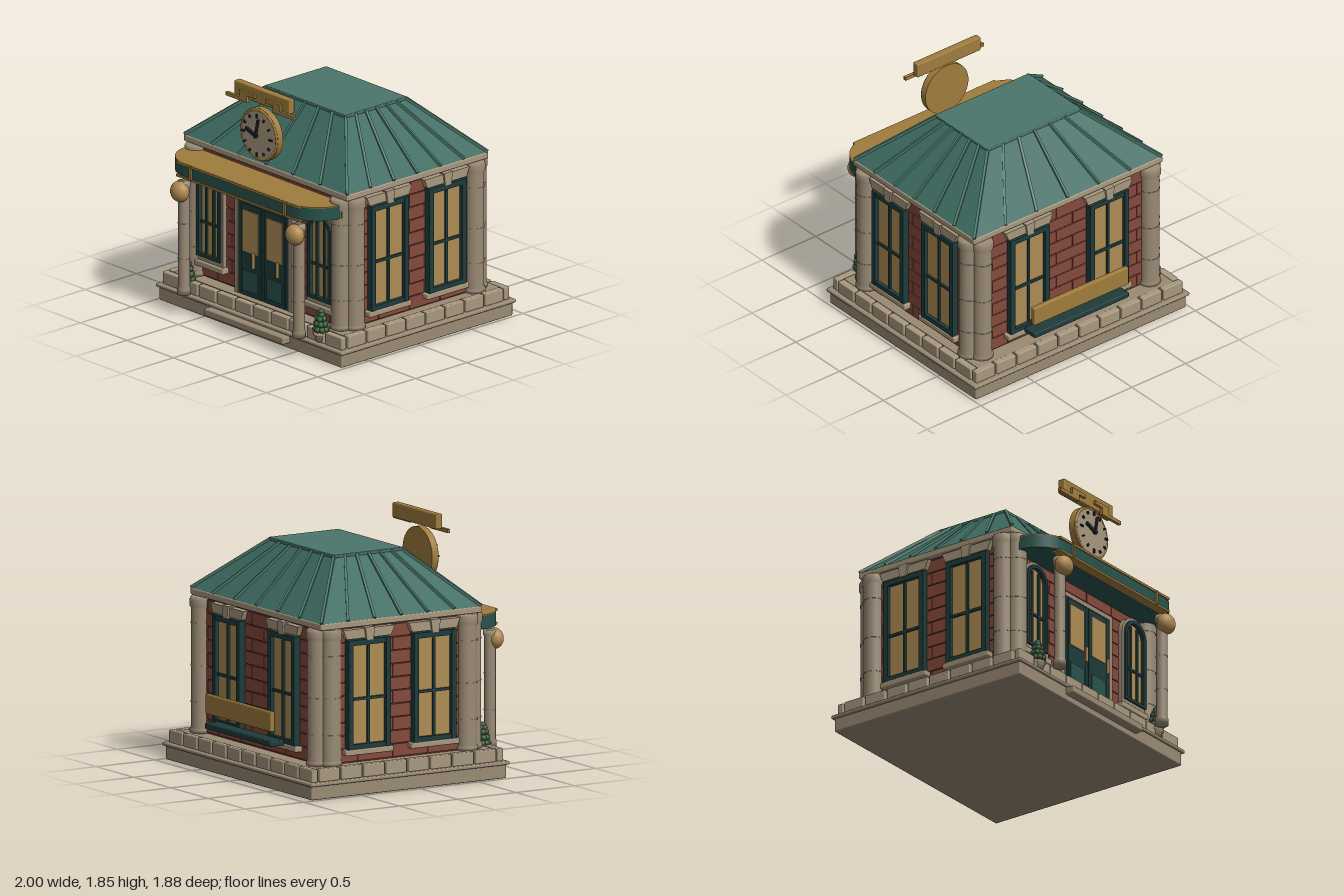
import * as THREE from 'three';
import { RoundedBoxGeometry } from 'three/addons/geometries/RoundedBoxGeometry.js';

const mat = (color) => new THREE.MeshStandardMaterial({ color });
const M = {
  stone: mat(0x9a8a74), pale: mat(0xa8987f), brick: mat(0x86493c), joint: mat(0x4f2c25),
  roof: mat(0x3d6b60), rib: mat(0x4a766b), dark: mat(0x1f3b3b), panel: mat(0x28534c),
  gold: mat(0xa07c3c), glass: mat(0xae8c54), lamp: mat(0xb08b52), leaf: mat(0x3a5c3c), black: mat(0x20262a),
};
const CZ = -0.085; // middle of the building along z

function add(parent, name, geo, material, x = 0, y = 0, z = 0) {
  const m = new THREE.Mesh(geo, material);
  m.name = name;
  m.position.set(x, y, z);
  parent.add(m);
  return m;
}
// Box given by its limits on each axis
function box(parent, name, material, [x0, x1], [y0, y1], [z0, z1], round = 0) {
  const s = [x1 - x0, y1 - y0, z1 - z0];
  const geo = round ? new RoundedBoxGeometry(...s, 2, round) : new THREE.BoxGeometry(...s);
  return add(parent, name, geo, material, (x0 + x1) / 2, (y0 + y1) / 2, (z0 + z1) / 2);
}
function group(parent, name, x = 0, y = 0, z = 0, ry = 0) {
  const g = new THREE.Group();
  g.name = name;
  g.position.set(x, y, z);
  g.rotation.y = ry;
  parent.add(g);
  return g;
}
const lathe = (pts, n = 24) => new THREE.LatheGeometry(pts.map((p) => new THREE.Vector2(...p)), n);
const extrude = (shape, depth) => new THREE.ExtrudeGeometry(shape, { depth, bevelEnabled: false, curveSegments: 16 });

// Outline of a round-headed opening
function arch(Type, r, y0, spring) {
  const s = new Type();
  s.moveTo(-r, y0);
  s.lineTo(r, y0);
  s.lineTo(r, spring);
  s.absarc(0, spring, r, 0, Math.PI, false);
  s.closePath();
  return s;
}
function archFrame(outer, inner, y0, y1, spring, depth) {
  const s = arch(THREE.Shape, outer, y0, spring);
  s.holes.push(arch(THREE.Path, inner, y1, spring));
  return extrude(s, depth);
}

// Staggered brick courses on a wall facing local +z
function brickFace(g, width) {
  const h = 0.098, w = 0.3, gap = 0.007, half = width / 2;
  for (let row = 0; row < 10; row++) {
    const y = 0.225 + row * h;
    for (let x = -half - (row % 2) * w / 2; x < half; x += w) {
      const a = Math.max(x, -half), b = Math.min(x + w - gap, half);
      if (b - a > 0.02) box(g, 'brick', M.brick, [a, b], [y, y + h - gap], [-0.01, 0.01]);
    }
  }
}

function squareWindow(wall, x) {
  const g = group(wall, 'window', x);
  box(g, 'glass', M.glass, [-0.15, 0.15], [0.34, 1.09], [0, 0.03]);
  for (const s of [-1, 1]) {
    box(g, 'frameSide', M.dark, [s * 0.16 - 0.02, s * 0.16 + 0.02], [0.315, 1.12], [0, 0.06]);
    box(g, 'frameRail', M.dark, [-0.18, 0.18], s < 0 ? [0.315, 0.355] : [1.08, 1.12], [0, 0.058]);
  }
  box(g, 'mullion', M.dark, [-0.01, 0.01], [0.36, 1.07], [0.02, 0.045]);
  box(g, 'crossBar', M.dark, [-0.15, 0.15], [0.675, 0.695], [0.02, 0.045]);
  box(g, 'sill', M.pale, [-0.205, 0.205], [0.277, 0.32], [0, 0.065], 0.008);
  const lintel = new THREE.Shape([[-0.19, 1.13], [0.19, 1.13], [0.22, 1.2], [-0.22, 1.2]].map((p) => new THREE.Vector2(...p)));
  add(g, 'lintel', extrude(lintel, 0.05), M.pale);
  const key = new THREE.Shape([[-0.028, 1.115], [0.028, 1.115], [0.042, 1.21], [-0.042, 1.21]].map((p) => new THREE.Vector2(...p)));
  add(g, 'keystone', extrude(key, 0.065), M.pale);
}

function archedWindow(wall, x) {
  const g = group(wall, 'archedWindow', x);
  add(g, 'stoneSurround', archFrame(0.148, 0.122, 0.345, 0.39, 0.915, 0.045), M.stone);
  add(g, 'frame', archFrame(0.125, 0.098, 0.385, 0.41, 0.915, 0.06), M.dark);
  add(g, 'glass', extrude(arch(THREE.Shape, 0.105, 0.395, 0.915), 0.03), M.glass);
  for (const s of [-1, 1]) box(g, 'mullion', M.dark, [s * 0.04 - 0.009, s * 0.04 + 0.009], [0.4, 0.99], [0.02, 0.045]);
  box(g, 'crossBar', M.dark, [-0.1, 0.1], [0.64, 0.658], [0.02, 0.045]);
  box(g, 'sill', M.pale, [-0.165, 0.165], [0.305, 0.35], [0, 0.065], 0.008);
}

function door(wall) {
  const g = group(wall, 'doubleDoor');
  for (const s of [-1, 1]) {
    box(g, 'stoneJamb', M.stone, [s * 0.29 - 0.02, s * 0.29 + 0.02], [0.21, 0.965], [0, 0.06]);
    box(g, 'doorLeaf', M.dark, [s * 0.125 - 0.108, s * 0.125 + 0.108], [0.22, 0.92], [0, 0.065]);
    box(g, 'doorGlass', M.glass, [s * 0.13 - 0.085, s * 0.13 + 0.085], [0.555, 0.875], [0.05, 0.072]);
    box(g, 'doorPanel', M.panel, [s * 0.13 - 0.083, s * 0.13 + 0.083], [0.255, 0.415], [0.05, 0.072]);
    const hx = s < 0 ? -0.06 : 0.2;
    box(g, 'handle', M.gold, [hx - 0.01, hx + 0.01], [0.46, 0.58], [0.09, 0.115], 0.008);
  }
  box(g, 'stoneHead', M.stone, [-0.31, 0.31], [0.93, 0.965], [0, 0.06]);
  box(g, 'doorFrame', M.dark, [-0.272, 0.272], [0.215, 0.94], [0, 0.055]);
}

function buildClock(root) {
  const g = group(root, 'clock', 0, 1.51, 0);
  const disc = (name, r, d, m, z) => { add(g, name, new THREE.CylinderGeometry(r, r, d, 48), m, 0, 0, z).rotation.x = Math.PI / 2; };
  disc('clockCase', 0.2, 0.05, M.gold, 0.637);
  disc('clockFace', 0.18, 0.012, M.pale, 0.664);
  add(g, 'clockRim', new THREE.TorusGeometry(0.187, 0.011, 8, 48), M.gold, 0, 0, 0.662);
  for (let i = 0; i < 12; i++) {
    const a = i * Math.PI / 6;
    const t = add(g, 'hourMark', new THREE.BoxGeometry(0.013, i % 3 ? 0.022 : 0.032, 0.012), M.black, Math.sin(a) * 0.148, Math.cos(a) * 0.148, 0.69);
    t.rotation.z = -a;
  }
  for (const [angle, len, w] of [[0.2, 0.13, 0.016], [-1.25, 0.11, 0.024]]) {
    const hand = group(g, 'hand', 0, 0, 0.7);
    hand.rotation.z = -angle;
    box(hand, 'handBar', M.black, [-w / 2, w / 2], [-0.015, len], [-0.008, 0.008]);
  }
  disc('hub', 0.016, 0.025, M.black, 0.7);
  // Stepped crest above the dial
  const c = group(root, 'crest');
  box(c, 'crestBlock', M.gold, [-0.295, 0.295], [1.735, 1.845], [0.585, 0.64], 0.008);
  for (const s of [-1, 1]) {
    for (const [a, b, y0, y1] of [[0.14, 0.365, 1.715, 1.742], [0.14, 0.22, 1.742, 1.768], [0.06, 0.22, 1.768, 1.795]])
      box(c, 'crestStep', M.gold, s < 0 ? [-b, -a] : [a, b], [y0, y1], [0.635, 0.66]);
  }
}

function buildRoof(root) {
  const g = group(root, 'roof');
  box(g, 'cornice', M.pale, [-0.88, 0.88], [1.215, 1.262], [-0.775, 0.605], 0.008);
  const B = [0.875, 0.685], T = [0.43, 0.295], y0 = 1.26, y1 = 1.645;
  const geo = new THREE.BoxGeometry(2, 2, 2), p = geo.attributes.position;
  for (let i = 0; i < p.count; i++) {
    const top = p.getY(i) > 0, s = top ? T : B;
    p.setXYZ(i, p.getX(i) * s[0], top ? y1 : y0, p.getZ(i) * s[1] + CZ);
  }
  geo.computeVertexNormals();
  add(g, 'hippedRoof', geo, M.roof);
  box(g, 'roofCap', M.rib, [-0.435, 0.435], [1.64, 1.665], [CZ - 0.3, CZ + 0.3], 0.006);
  // Standing seams, hips included
  const seam = (u, v) => {
    const a = new THREE.Vector3(u * B[0], y0 + 0.006, v * B[1] + CZ), b = new THREE.Vector3(u * T[0], y1 + 0.006, v * T[1] + CZ);
    const m = add(g, 'seam', new THREE.BoxGeometry(0.02, 0.022, a.distanceTo(b)), M.rib);
    m.position.copy(a).lerp(b, 0.5);
    m.lookAt(b);
  };
  for (const s of [-1, 1]) {
    for (let i = -3; i <= 3; i++) seam(i / 3, s);
    for (let i = -2; i <= 2; i++) seam(s, i / 3);
  }
}

function buildCanopy(root) {
  const g = group(root, 'canopy');
  const s = new THREE.Shape();
  s.moveTo(-0.84, -0.58);
  s.lineTo(0.84, -0.58);
  s.lineTo(0.84, -0.62);
  s.absarc(0.58, -0.62, 0.25, 0, -Math.PI / 2, true);
  s.absarc(-0.58, -0.62, 0.25, -Math.PI / 2, -Math.PI, true);
  s.closePath();
  const slab = (name, m, y, h) => { add(g, name, extrude(s, h), m, 0, y, 0).rotation.x = -Math.PI / 2; };
  slab('canopyBand', M.panel, 1.08, 0.098);
  slab('canopyTop', M.gold, 1.178, 0.007);
  for (const [a, b] of [[1.067, 1.083], [1.166, 1.184]]) box(g, 'canopyTrim', M.gold, [-0.66, 0.66], [a, b], [0.8, 0.878]);
  for (const x of [-0.505, 0.505]) box(g, 'canopyStud', M.gold, [x - 0.01, x + 0.01], [1.075, 1.18], [0.86, 0.885]);
}

export function createModel() {
  const root = new THREE.Group();
  root.name = 'stationBuilding';

  // Base, step and ring of plinth blocks
  box(root, 'base', M.stone, [-0.98, 0.98], [0, 0.11], [-0.92, 0.75], 0.01);
  box(root, 'baseCap', M.stone, [-1, 1], [0.1, 0.127], [-0.937, 0.767], 0.01);
  box(root, 'step', M.stone, [-0.425, 0.425], [0.045, 0.1], [0.7, 0.82], 0.01);
  box(root, 'plinth', M.stone, [-0.91, 0.91], [0.12, 0.215], [-0.855, 0.675]);
  for (let i = 0; i < 10; i++) {
    const x = -0.97 + i * 0.194;
    for (const z of [0.685, -0.905]) box(root, 'plinthBlock', M.pale, [x + 0.008, x + 0.186], [0.125, 0.22], [z, z + 0.05], 0.008);
  }
  for (let i = 0; i < 8; i++) {
    const z = -0.85 + i * 0.191;
    for (const x of [-0.968, 0.913]) box(root, 'plinthBlock', M.pale, [x, x + 0.055], [0.125, 0.22], [z + 0.008, z + 0.183], 0.008);
  }

  // Walls with their openings
  box(root, 'wallCore', M.joint, [-0.835, 0.835], [0.125, 1.22], [-0.735, 0.565]);
  const walls = [
    group(root, 'frontWall', 0, 0, 0.565), group(root, 'backWall', 0, 0, -0.735, Math.PI),
    group(root, 'leftWall', 0.835, 0, CZ, Math.PI / 2), group(root, 'rightWall', -0.835, 0, CZ, -Math.PI / 2),
  ];
  walls.forEach((w, i) => brickFace(w, i < 2 ? 1.67 : 1.3));
  door(walls[0]);
  for (const s of [-1, 1]) {
    archedWindow(walls[0], s * 0.595);
    squareWindow(walls[1], s * 0.37);
    squareWindow(walls[2], s * 0.281);
    squareWindow(walls[3], s * 0.281);
  }

  // Paired columns at each corner
  const column = lathe([[0, 0.215], [0.083, 0.215], [0.083, 0.24], [0.074, 0.255], [0.074, 1.13], [0.083, 1.145], [0.083, 1.195], [0.074, 1.215], [0, 1.215]]);
  for (const sx of [-1, 1]) for (const sz of [-1, 1]) {
    for (const [x, z] of [[0.78, 0.658], [0.84, 0.583]]) {
      const g = group(root, 'cornerColumn', sx * x, 0, CZ + sz * z);
      add(g, 'shaft', column, M.stone);
      for (const y of [0.44, 0.71, 1.02]) add(g, 'ring', new THREE.CylinderGeometry(0.077, 0.077, 0.008, 24), M.stone, 0, y, 0);
    }
  }

  buildRoof(root);
  buildCanopy(root);
  buildClock(root);

  // Lamp posts and potted shrubs either side of the door
  const post = lathe([[0, 0.165], [0.05, 0.165], [0.05, 0.21], [0.043, 0.225], [0.043, 0.98], [0.05, 0.99], [0.05, 1.03], [0, 1.03]]);
  const pot = lathe([[0, 0.13], [0.036, 0.13], [0.047, 0.18], [0.056, 0.182], [0.056, 0.2], [0, 0.2]], 16);
  for (const s of [-1, 1]) {
    const lamp = group(root, 'lampPost', s * 0.618, 0, 0.838);
    add(lamp, 'post', post, M.stone);
    for (const y of [0.44, 0.71]) add(lamp, 'ring', new THREE.CylinderGeometry(0.045, 0.045, 0.008, 24), M.stone, 0, y, 0);
    add(lamp, 'globe', new THREE.SphereGeometry(0.078, 24, 16), M.lamp, 0, 0.96, 0.04).scale.z = 0.8;
    const shrub = group(root, 'pottedShrub', s * 0.717, 0, 0.713);
    add(shrub, 'pot', pot, M.pale);
    for (const [y, r, n] of [[0.225, 0.04, 8], [0.265, 0.034, 7], [0.305, 0.024, 5], [0.335, 0.012, 3], [0.355, 0, 1]])
      for (let i = 0; i < n; i++) {
        const a = (i / n) * Math.PI * 2 + y * 20;
        add(shrub, 'leafClump', new THREE.IcosahedronGeometry(0.024, 1), M.leaf, Math.cos(a) * r, y, Math.sin(a) * r);
      }
  }

  // Bench along the back
  const bench = group(root, 'bench');
  box(bench, 'benchSeat', M.dark, [-0.44, 0.44], [0.31, 0.352], [-0.93, -0.81], 0.008);
  box(bench, 'benchBack', M.gold, [-0.44, 0.44], [0.42, 0.565], [-0.927, -0.887], 0.008);
  return root;
}
